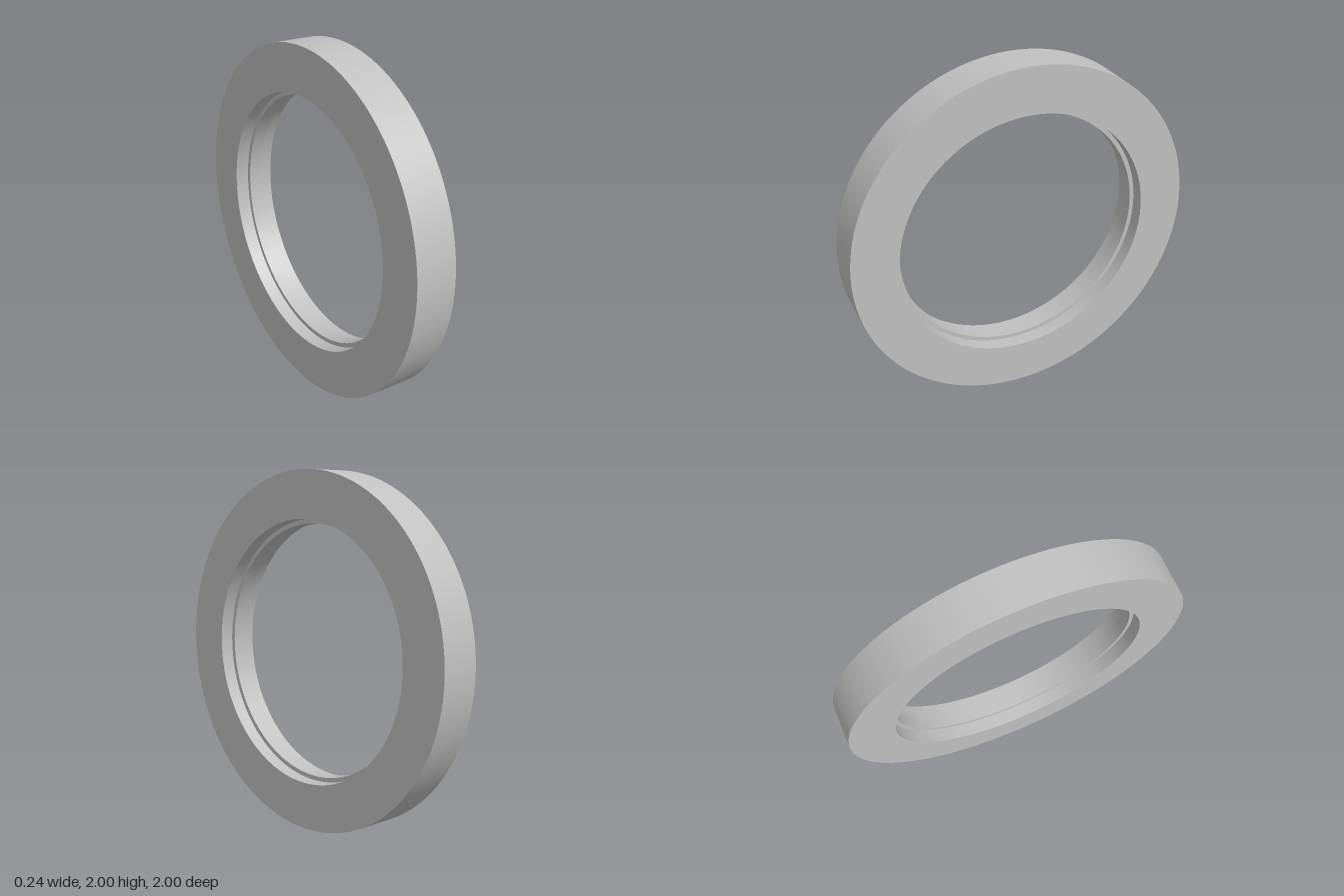
import * as THREE from 'three';
import { toCreasedNormals } from 'three/addons/utils/BufferGeometryUtils.js';

export function createModel() {
  const model = new THREE.Group();
  model.name = 'ringCollar';
  const grey = new THREE.MeshStandardMaterial({ color: 0xc0c0c0 });
  grey.name = 'light grey';

  const outer = 1, bore = 0.735, lip = 0.71; // radii
  const half = 0.12, lipHalf = 0.04;         // half widths along the axis

  // closed cross-section: outer wall, end faces and bore with a raised central lip
  const profile = [
    [outer, -half], [outer, half], [bore, half], [bore, lipHalf], [lip, lipHalf],
    [lip, -lipHalf], [bore, -lipHalf], [bore, -half], [outer, -half],
  ].map(([r, a]) => new THREE.Vector2(r, a));

  const geometry = toCreasedNormals(new THREE.LatheGeometry(profile, 128), 0.6);
  geometry.rotateZ(-Math.PI / 2); // axis along x

  const ring = new THREE.Mesh(geometry, grey);
  ring.name = 'ring';
  ring.position.y = outer;
  model.add(ring);
  return model;
}
